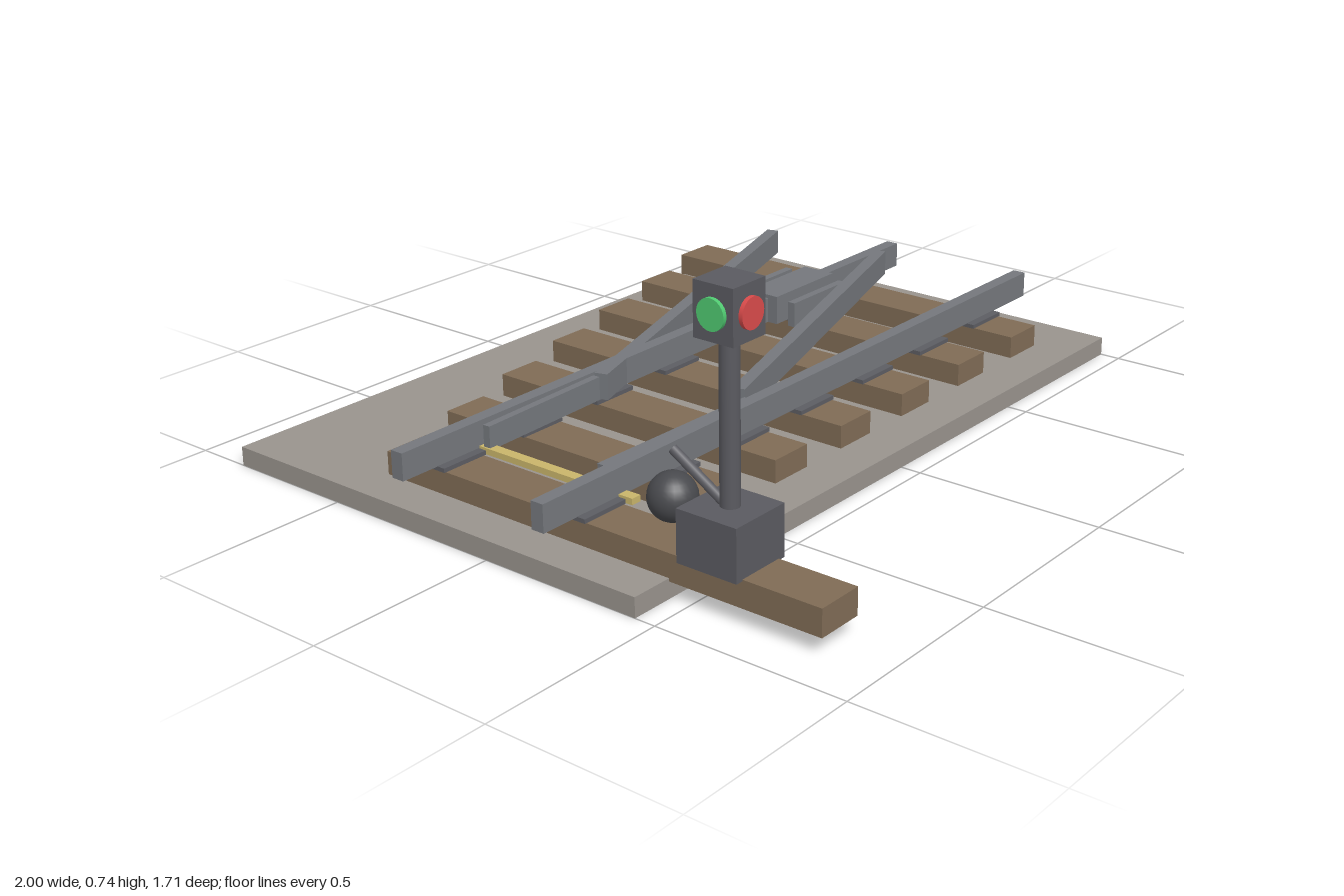
import * as THREE from 'three';

const mat = (color) => new THREE.MeshStandardMaterial({ color });

export function createModel() {
  const group = new THREE.Group();
  const gravel = mat(0x98938d), wood = mat(0x7f6b55), steel = mat(0x74777c), plate = mat(0x5c5d62);
  const dark = mat(0x5a5a60), ballMat = mat(0x48494d), yellow = mat(0xc8b46a);
  const red = mat(0xd84a4a), green = mat(0x4fc870);

  const add = (name, geo, material) => {
    const mesh = new THREE.Mesh(geo, material);
    mesh.name = name;
    group.add(mesh);
    return mesh;
  };
  // box given by its limits on each axis
  const box = (name, material, x0, x1, y0, y1, z0, z1) => {
    const mesh = add(name, new THREE.BoxGeometry(x1 - x0, y1 - y0, z1 - z0), material);
    mesh.position.set((x0 + x1) / 2, (y0 + y1) / 2, (z0 + z1) / 2);
    return mesh;
  };
  // upright bar running between two points on the ground plan
  const bar = (name, material, [xa, za], [xb, zb], width, y0, y1) => {
    const length = Math.hypot(xb - xa, zb - za);
    const mesh = add(name, new THREE.BoxGeometry(length, y1 - y0, width), material);
    mesh.position.set((xa + xb) / 2, (y0 + y1) / 2, (za + zb) / 2);
    mesh.rotation.y = -Math.atan2(zb - za, xb - xa);
    return mesh;
  };

  box('ballastBed', gravel, -1, 1, 0, 0.05, -0.85, 0.445);

  // ties grow longer toward the diverging end; the first carries the switch stand
  const railZ = [-0.28, 0.165];
  for (let i = 0; i < 7; i++) {
    const x = -0.825 + i * 0.265;
    box('tie', wood, x - 0.0625, x + 0.0625, 0.042, 0.11, -0.44 - i * 0.07, i === 0 ? 0.855 : 0.325);
    for (const z of railZ) box('tiePlate', plate, x - 0.068, x + 0.068, 0.11, 0.121, z - 0.041, z + 0.041);
  }

  // through rails and diverging rails
  for (const z of railZ) bar('stockRail', steel, [-1, z], [1, z], 0.036, 0.12, 0.19);
  bar('divergingRailOuter', steel, [-0.345, -0.241], [0.875, -0.638], 0.035, 0.12, 0.19);
  bar('divergingRailInner', steel, [-0.21, 0.094], [0.91, -0.262], 0.035, 0.12, 0.19);

  // switch points and the bar that throws them
  bar('switchPoint', steel, [-0.75, -0.241], [-0.35, -0.252], 0.02, 0.12, 0.182);
  bar('switchPoint', steel, [-0.75, 0.125], [-0.23, 0.139], 0.02, 0.12, 0.182);
  box('throwBar', yellow, -0.755, -0.727, 0.11, 0.126, -0.333, 0.224);

  // crossing frog with guard rails
  box('frog', steel, 0.368, 0.63, 0.12, 0.2, -0.331, -0.231);
  for (const z of [-0.376, -0.188]) box('guardRail', steel, 0.378, 0.614, 0.12, 0.19, z - 0.011, z + 0.011);

  // switch stand
  const sx = -0.825, sz = 0.565;
  box('standBase', dark, sx - 0.082, sx + 0.082, 0.106, 0.234, sz - 0.082, sz + 0.082);
  add('mast', new THREE.CylinderGeometry(0.023, 0.023, 0.4, 16), dark).position.set(sx, 0.425, sz);
  box('lampHousing', dark, sx - 0.053, sx + 0.053, 0.617, 0.744, sz - 0.053, sz + 0.053);

  // lenses: red to front and back, green to the sides
  for (let i = 0; i < 4; i++) {
    const geo = new THREE.CylinderGeometry(0.036, 0.036, 0.02, 24);
    geo.rotateX(Math.PI / 2).translate(0, 0, 0.053).rotateY(i * Math.PI / 2);
    add(i % 2 ? 'greenLens' : 'redLens', geo, i % 2 ? green : red).position.set(sx, 0.68, sz);
  }

  // throw lever and counterweight
  const a = new THREE.Vector3(sx, 0.23, 0.56), b = new THREE.Vector3(sx, 0.322, 0.408);
  const dir = b.clone().sub(a);
  const lever = add('throwLever', new THREE.CylinderGeometry(0.012, 0.012, dir.length(), 12), dark);
  lever.position.copy(a).lerp(b, 0.5);
  lever.quaternion.setFromUnitVectors(new THREE.Vector3(0, 1, 0), dir.normalize());
  add('counterweight', new THREE.SphereGeometry(0.058, 24, 16), ballMat).position.set(sx, 0.21, 0.405);

  return group;
}
